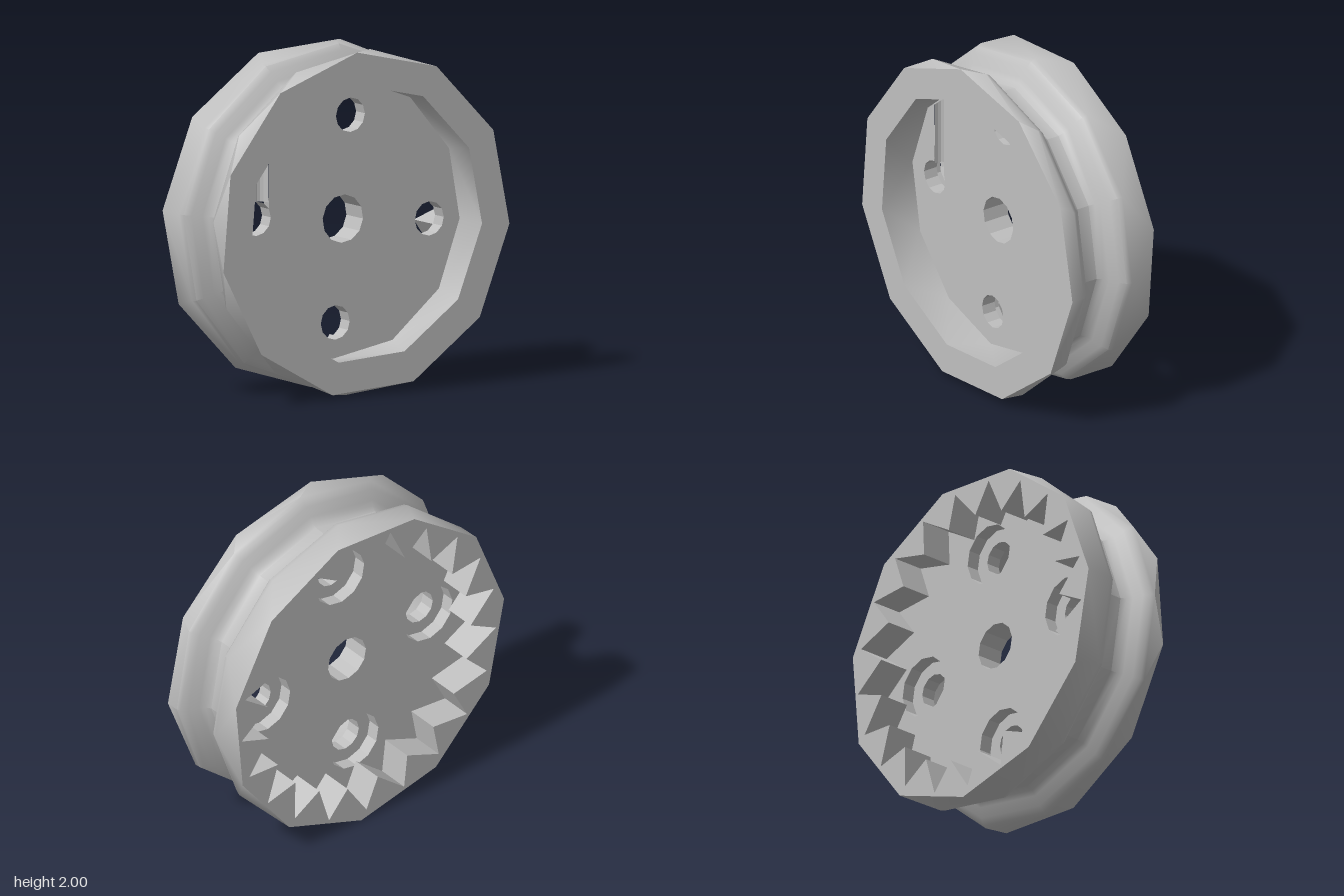
import * as THREE from 'three';
import { mergeGeometries, toCreasedNormals } from 'three/addons/utils/BufferGeometryUtils.js';

const RAD = Math.PI / 180;
const TURN = -5; // the whole wheel is turned a little about its axle
const polar = (r, deg, cx = 0, cy = 0) => [cx + r * Math.cos(deg * RAD), cy + r * Math.sin(deg * RAD)];
const circle = (r, c = [0, 0], n = 12, phase = TURN) =>
  Array.from({ length: n }, (_, i) => polar(r, phase + (i * 360) / n, c[0], c[1]));

function fromPositions(pos) {
  const g = new THREE.BufferGeometry();
  g.setAttribute('position', new THREE.Float32BufferAttribute(pos, 3));
  g.computeVertexNormals();
  return g;
}

// Skin between two rings that may have different side counts
function bandBetween(a, b, skip = -1) {
  const angle = (ring, i) => ring.phase + (i * 360) / ring.n;
  const point = (ring, i) => [...polar(ring.r, angle(ring, i)), ring.z];
  const pos = [];
  let i = 0, j = 0;
  while (i < a.n || j < b.n) {
    const stepA = j >= b.n || (i < a.n && angle(a, i + 1) <= angle(b, j + 1) + 1e-6);
    const tri = stepA
      ? [point(a, i), point(a, i + 1), point(b, j)]
      : [point(a, i), point(b, j + 1), point(b, j)];
    if ((stepA ? i : j) !== skip) pos.push(...tri.flat());
    if (stepA) i++; else j++;
  }
  return pos;
}

// Straight wall along an outline; inward walls face the inside of a hole
function wall(path, z0, z1, inward = true, closed = true) {
  const p = inward ? [...path].reverse() : path;
  const pos = [];
  for (let i = 0; i < p.length - (closed ? 0 : 1); i++) {
    const a = p[i], b = p[(i + 1) % p.length];
    pos.push(...a, z0, ...b, z0, ...b, z1, ...a, z0, ...b, z1, ...a, z1);
  }
  return fromPositions(pos);
}

// Flat face with holes, looking to the front or to the back
function face(outline, holes, z, back = false) {
  const pts = (list) => list.map(([x, y]) => new THREE.Vector2(back ? -x : x, y));
  const shape = new THREE.Shape(pts(outline));
  holes.forEach((h) => shape.holes.push(new THREE.Path(pts(h))));
  const g = new THREE.ShapeGeometry(shape);
  if (back) g.rotateY(Math.PI);
  return g.translate(0, 0, z);
}

export function createModel() {
  const wheel = new THREE.Group();
  wheel.name = 'pulleyWheel';
  const grey = new THREE.MeshStandardMaterial({ color: 0xbfbfbf });
  grey.name = 'grey';
  const add = (name, geometry) => {
    const mesh = new THREE.Mesh(geometry, grey);
    mesh.name = name;
    wheel.add(mesh);
  };

  const FRONT = 0.3, BACK = -0.3, WEB_FRONT = 0.07, WEB_BACK = -0.1, SHOULDER = -0.02;

  // Rim: back edge, rope groove, front edge and front recess wall
  const ring = (z, r, n = 12, phase = TURN) => ({ z, r, n, phase });
  const groove = [
    [-0.13, 1], [-0.1, 0.99], [-0.07, 0.955], [-0.04, 0.9], [-0.02, 0.87], [0.01, 0.85],
    [0.09, 0.85], [0.12, 0.87], [0.14, 0.9], [0.17, 0.955], [0.2, 0.99], [0.22, 1],
  ];
  const backPhase = TURN + 180 / 11;
  const rings = [
    ring(BACK, 1, 11, backPhase),
    ...groove.map(([z, r]) => ring(z, r)),
    ring(FRONT, 1, 11), ring(FRONT, 0.81, 11), ring(WEB_FRONT, 0.81),
  ];
  const rim = [];
  for (let k = 0; k < rings.length - 1; k++) {
    rim.push(...bandBetween(rings[k], rings[k + 1], rings[k].z === 0.01 ? 4 : -1));
  }
  add('rim', toCreasedNormals(fromPositions(rim), 0.65));

  // Holes in the web
  const centres = [0, 1, 2, 3].map((i) => polar(0.6, TURN + i * 90));
  const axle = circle(0.14);
  const anchor = centres[2];
  const slotLeft = anchor[0], slotRight = anchor[0] + 0.0866;
  const boreX = (slotLeft + slotRight) / 2, boreR = 0.04, boreZ = 0.05;

  // Front web, with the rope slot joined to one hole
  const slotted = Array.from({ length: 11 }, (_, i) => polar(0.1, 90 + i * 30, ...anchor));
  slotted.push([slotRight, 0.58], [slotLeft, 0.51]);
  const frontHoles = centres.map((c, i) => (i === 2 ? slotted : circle(0.1, c, 12, 0)));
  add('frontWeb', face(circle(0.81), [axle, ...frontHoles], WEB_FRONT));

  // Back web, with a counterbore round each hole
  const bores = centres.map((c) => circle(0.18, c));
  add('backWeb', face(circle(0.95, [0, 0], 24), [axle, ...bores], WEB_BACK, true));
  add('axleHole', wall(axle, WEB_BACK, WEB_FRONT));
  centres.forEach((c, i) => {
    const hole = circle(0.1, c, 12, 0);
    add('mountingHole', mergeGeometries([
      wall(hole, SHOULDER, WEB_FRONT),
      wall(bores[i], WEB_BACK, SHOULDER),
    ]));
    add('counterboreShoulder', face(bores[i], [hole], SHOULDER, true));
  });

  // Ratchet teeth cut into the back face
  const ratchet = [];
  for (let i = 0; i < 21; i++) {
    const a = 14 + (i * 360) / 21;
    ratchet.push(polar(0.94, a), polar(0.75, a + 11));
  }
  add('ratchetTeeth', wall(ratchet, BACK, WEB_BACK));
  add('backFace', face(circle(1, [0, 0], 11, backPhase), [ratchet], BACK, true));

  // Groove floor panel pierced by the rope bore
  const mid = 130 * RAD;
  const apothem = 0.85 * Math.cos(15 * RAD), half = 0.85 * Math.sin(15 * RAD);
  const boreTop = (apothem - boreX * Math.cos(mid)) / Math.sin(mid);
  const u = -boreX * Math.sin(mid) + boreTop * Math.cos(mid);
  const opening = circle(1, [0, 0], 10, 0).map(([x, y]) => [u + x * 0.05, y * 0.037]);
  const panel = face([[-half, -0.04], [half, -0.04], [half, 0.04], [-half, 0.04]], [opening], 0);
  const n = new THREE.Vector3(Math.cos(mid), Math.sin(mid), 0);
  panel.applyMatrix4(new THREE.Matrix4().makeBasis(
    new THREE.Vector3(-n.y, n.x, 0), new THREE.Vector3(0, 0, 1), n,
  ).setPosition(n.x * apothem, n.y * apothem, boreZ));
  add('grooveBorePanel', panel);

  // Rope bore: open trough along the web, closed tube through the rim
  const trough = [[boreR, boreZ - WEB_FRONT]];
  for (let a = 0; a <= 180; a += 30) trough.push(polar(boreR, a));
  trough.push([-boreR, boreZ - WEB_FRONT]);
  const bore = mergeGeometries([
    wall(trough, 0.14, 0.55, true, false),
    wall(circle(boreR, [0, 0], 12, 0), 0.55, boreTop),
  ]);
  add('ropeBore', bore.rotateX(-Math.PI / 2).translate(boreX, 0, boreZ));

  wheel.children.forEach((m) => m.geometry.translate(0, 1, 0));
  return wheel;
}
